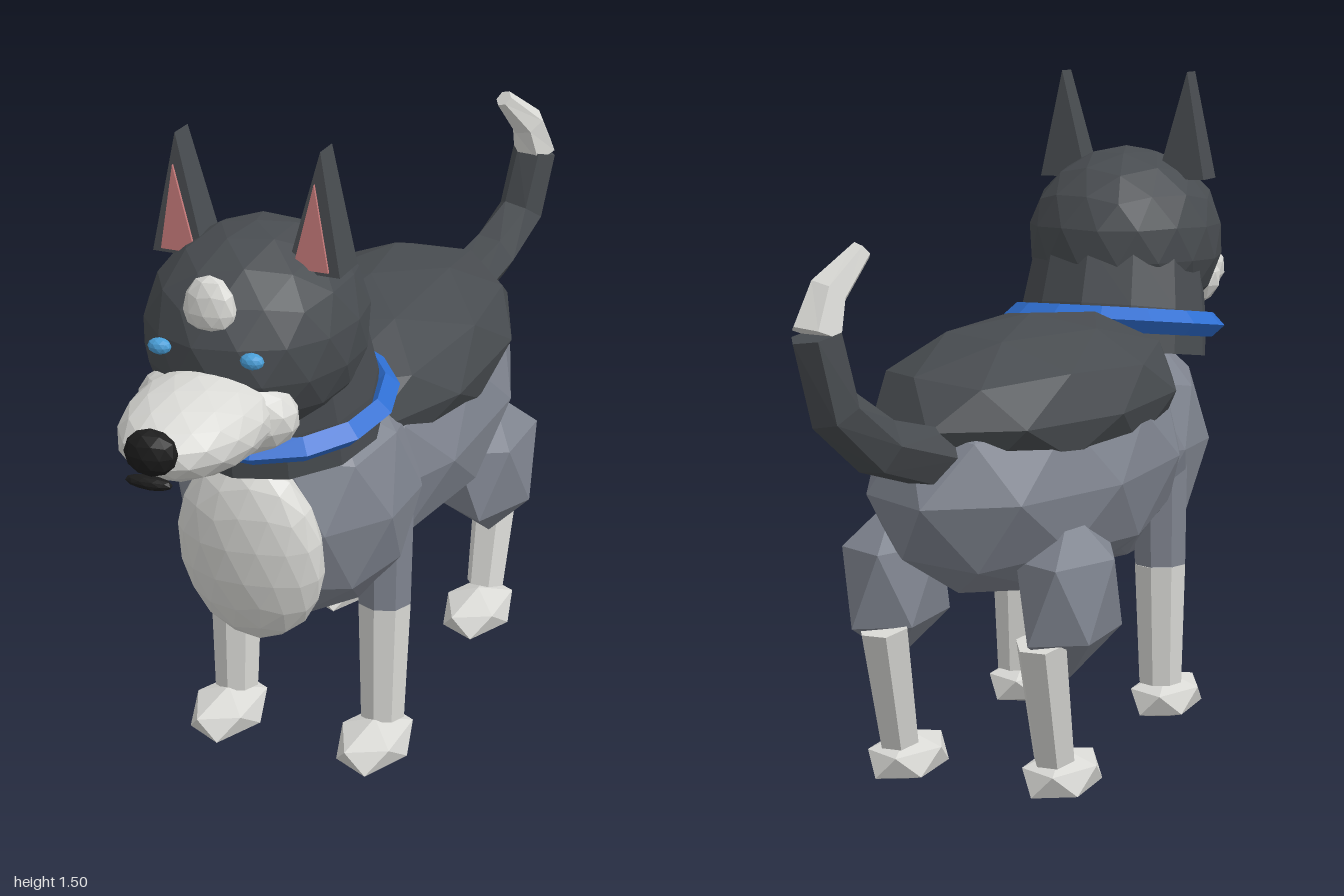
import * as THREE from 'three';

const mat = (name, color) => {
  const m = new THREE.MeshStandardMaterial({ color });
  m.name = name;
  return m;
};

export function createModel() {
  const dark = mat('charcoal fur', 0x484c50);
  const grey = mat('grey fur', 0x7f848f);
  const light = mat('pale fur', 0xd9d9d5);
  const blue = mat('blue collar', 0x2f6fd2);
  const eyeBlue = mat('eye blue', 0x4a9fd8);
  const pink = mat('ear pink', 0xc87b7b);
  const black = mat('nose black', 0x1c1c1c);

  const dog = new THREE.Group();
  dog.name = 'dog';

  // Adds a faceted mesh
  const add = (name, geo, material) => {
    const flat = geo.index ? geo.toNonIndexed() : geo;
    flat.computeVertexNormals();
    const mesh = new THREE.Mesh(flat, material);
    mesh.name = name;
    dog.add(mesh);
    return mesh;
  };

  // Faceted ellipsoid with one corner straight up
  const blob = (name, material, detail, pos, radii) => {
    const geo = new THREE.IcosahedronGeometry(1, detail);
    geo.rotateZ(Math.atan(2 / (1 + Math.sqrt(5))));
    geo.scale(...radii);
    const mesh = add(name, geo, material);
    mesh.position.set(...pos);
    return mesh;
  };

  // Skin over round cross-sections; each stop is [x, y, z, radius]
  const loft = (name, material, stops, sides = 6) => {
    const centres = stops.map(([x, y, z]) => new THREE.Vector3(x, y, z));
    const last = stops.length - 1;
    const pos = [], index = [];
    centres.forEach((c, j) => {
      const t = centres[Math.min(j + 1, last)].clone().sub(centres[Math.max(j - 1, 0)]).normalize();
      const u = new THREE.Vector3(1, 0, 0).addScaledVector(t, -t.x).normalize();
      const v = t.clone().cross(u);
      for (let i = 0; i < sides; i++) {
        const a = (i / sides) * Math.PI * 2;
        const p = c.clone().addScaledVector(u, Math.cos(a) * stops[j][3]).addScaledVector(v, Math.sin(a) * stops[j][3]);
        pos.push(p.x, p.y, p.z);
      }
    });
    for (let j = 0; j < last; j++) {
      for (let i = 0; i < sides; i++) {
        const a = j * sides + i, b = j * sides + ((i + 1) % sides);
        index.push(a, b, a + sides, b, b + sides, a + sides);
      }
    }
    // End caps
    for (let i = 1; i < sides - 1; i++) {
      const e = last * sides;
      index.push(0, i + 1, i, e, e + i, e + i + 1);
    }
    const geo = new THREE.BufferGeometry();
    geo.setAttribute('position', new THREE.Float32BufferAttribute(pos, 3));
    geo.setIndex(index);
    return add(name, geo, material);
  };

  // Triangular prism centred on z = 0
  const wedge = (points, depth) => {
    const shape = new THREE.Shape(points.map(([x, y]) => new THREE.Vector2(x, y)));
    return new THREE.ExtrudeGeometry(shape, { depth, bevelEnabled: false }).translate(0, 0, -depth / 2);
  };

  // Torso
  blob('body', grey, 1, [0, 0.67, -0.11], [0.295, 0.28, 0.59]);
  blob('chest', grey, 1, [0, 0.66, 0.28], [0.265, 0.3, 0.275]);
  blob('saddle', dark, 1, [0, 0.82, -0.12], [0.295, 0.18, 0.54]);
  blob('bib', light, 2, [0, 0.62, 0.53], [0.165, 0.225, 0.085]).rotation.x = 0.12;

  // Neck and collar
  loft('neck', dark, [[0, 0.85, 0.39, 0.225], [0, 0.95, 0.405, 0.22], [0, 1.08, 0.43, 0.2]], 12);
  const collar = add('collar', new THREE.TorusGeometry(0.232, 0.029, 4, 14).rotateX(Math.PI / 2), blue);
  collar.position.set(0, 0.922, 0.405);
  collar.rotation.x = 0.14;
  collar.scale.x = 1.01;

  // Head and muzzle
  blob('head', dark, 2, [0, 1.11, 0.48], [0.228, 0.22, 0.262]);
  blob('cheeks', light, 2, [0, 1.0, 0.67], [0.175, 0.095, 0.085]);
  blob('snout', light, 2, [0, 1.01, 0.76], [0.142, 0.092, 0.215]);
  blob('nose', black, 1, [0, 1.027, 0.963], [0.055, 0.048, 0.037]);
  blob('mouth', black, 1, [0, 0.97, 0.975], [0.05, 0.014, 0.018]);

  // Forehead spot, stretched upward into a drop
  const spot = blob('forehead spot', light, 1, [0, 1.215, 0.697], [0.057, 0.05, 0.033]);
  const sp = spot.geometry.attributes.position;
  for (let i = 0; i < sp.count; i++) if (sp.getY(i) > 0) sp.setY(i, sp.getY(i) * 1.5);
  spot.geometry.computeVertexNormals();

  for (const s of [1, -1]) {
    const side = s > 0 ? 'left' : 'right';
    blob(`${side} eye`, eyeBlue, 1, [s * 0.1, 1.135, 0.722], [0.025, 0.017, 0.018]);

    // Ear, slimmer toward its tip
    const ear = wedge([[s * 0.09, 1.255], [s * 0.205, 1.255], [s * 0.157, 1.505]], 0.09);
    const ep = ear.attributes.position;
    for (let i = 0; i < ep.count; i++) if (ep.getY(i) > 1.4) ep.setZ(i, ep.getZ(i) * 0.65);
    add(`${side} ear`, ear, dark).position.z = 0.49;
    const inner = wedge([[s * 0.107, 1.265], [s * 0.183, 1.265], [s * 0.153, 1.445]], 0.006);
    add(`${side} inner ear`, inner, pink).position.z = 0.54;

    // Front leg
    const x = s * 0.18;
    loft(`${side} front upper leg`, grey, [[x, 0.385, 0.23, 0.062], [x, 0.645, 0.226, 0.066]], 8);
    loft(`${side} front lower leg`, light, [[x, 0.1, 0.238, 0.052], [x, 0.385, 0.23, 0.062]], 8);
    blob(`${side} front paw`, light, 0, [x, 0.055, 0.283], [s * 0.087, 0.055, 0.138].map(Math.abs));

    // Hind leg
    blob(`${side} thigh`, grey, 0, [s * 0.2, 0.45, -0.39], [0.112, 0.182, 0.185]);
    loft(`${side} hind lower leg`, light, [[x, 0.1, -0.428, 0.046], [x, 0.37, -0.5, 0.056]]);
    blob(`${side} hind paw`, light, 0, [x, 0.055, -0.38], [0.087, 0.055, 0.138]);
  }

  // Tail with a pale tip
  loft('tail', dark, [
    [0.01, 0.76, -0.6, 0.068], [0.045, 0.815, -0.8, 0.062],
    [0.08, 0.9, -0.91, 0.057], [0.1, 1.05, -0.942, 0.055],
  ]);
  loft('tail tip', light, [
    [0.1, 1.05, -0.942, 0.054], [0.09, 1.13, -0.912, 0.042], [0.05, 1.205, -0.845, 0.022],
  ]);

  return dog;
}
